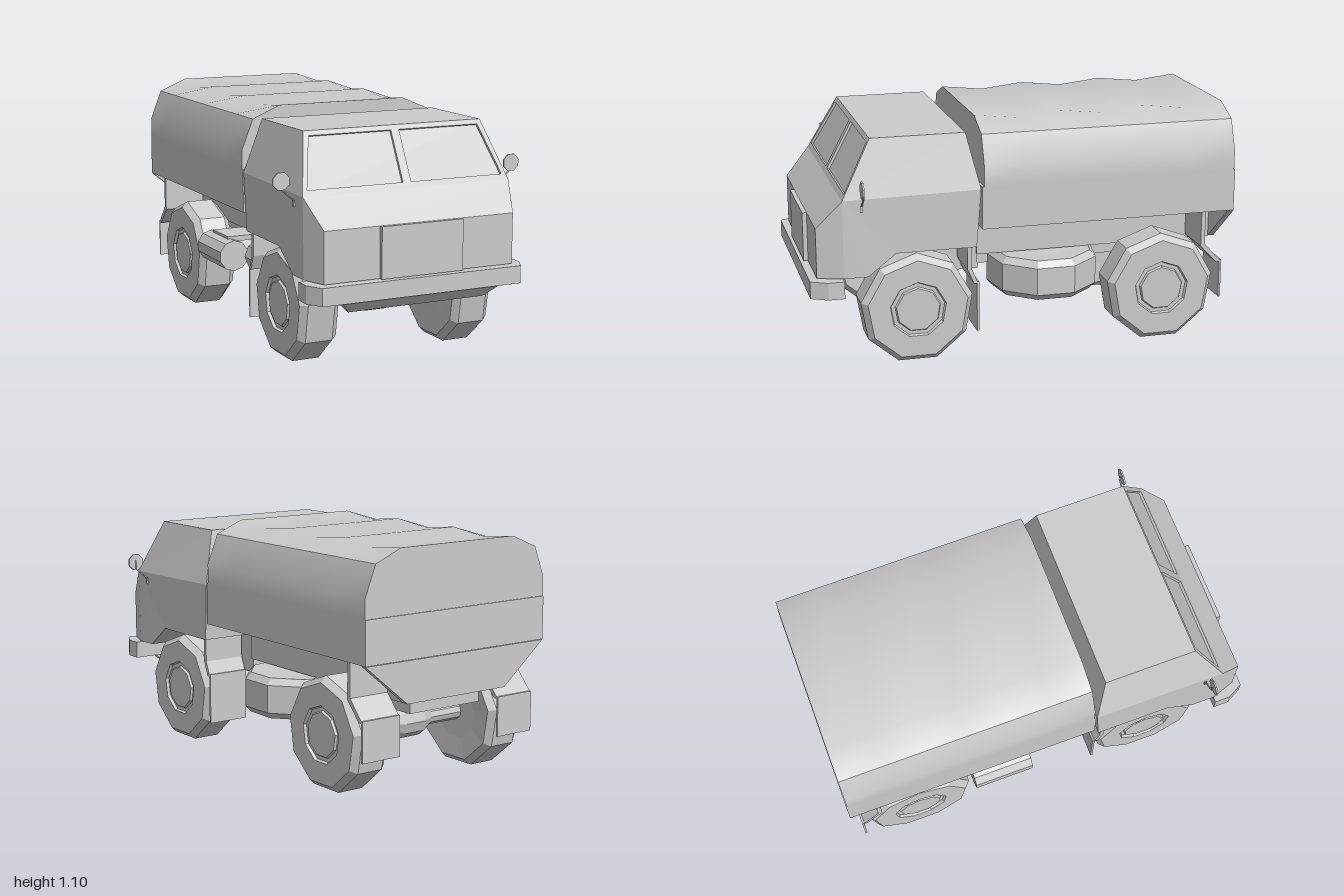
import * as THREE from 'three';
import { toCreasedNormals } from 'three/addons/utils/BufferGeometryUtils.js';

const material = new THREE.MeshStandardMaterial({ color: 0xcccccc, flatShading: true });
const smooth = new THREE.MeshStandardMaterial({ color: 0xcccccc });

export function createModel() {
  const truck = new THREE.Group();

  function add(name, geometry, x = 0, y = 0, z = 0, mat = material) {
    const mesh = new THREE.Mesh(geometry, mat);
    mesh.name = name;
    mesh.position.set(x, y, z);
    truck.add(mesh);
    return mesh;
  }

  // Box given by its limits
  const box = (name, x0, x1, y0, y1, z0, z1) =>
    add(name, new THREE.BoxGeometry(x1 - x0, y1 - y0, z1 - z0), (x0 + x1) / 2, (y0 + y1) / 2, (z0 + z1) / 2);

  const toShape = (pts) => new THREE.Shape(pts.map(([a, b]) => new THREE.Vector2(a, b)));
  const extrude = (shape, depth) => new THREE.ExtrudeGeometry(shape, { depth, bevelEnabled: false });

  // Side profile of [z, y] points carried across from x0 to x1
  const extrudeX = (pts, x0, x1) => extrude(toShape(pts), x1 - x0).rotateY(-Math.PI / 2).translate(x1, 0, 0);

  // Flat faces, each a list of points, cut into fans
  function fromFaces(faces) {
    const pos = [];
    for (const f of faces)
      for (let i = 1; i < f.length - 1; i++) pos.push(...f[0], ...f[i], ...f[i + 1]);
    const g = new THREE.BufferGeometry();
    g.setAttribute('position', new THREE.Float32BufferAttribute(pos, 3));
    g.computeVertexNormals();
    return g;
  }

  // Mirrored shell: left outline, side faces by index, bands across (one may stay open)
  function shell(outline, sides, open = -1) {
    const flip = ([x, y, z]) => [-x, y, z];
    const faces = [];
    for (const s of sides) {
      const left = s.map((i) => outline[i]);
      faces.push(left, left.map(flip).reverse());
    }
    outline.forEach((p, i) => {
      const q = outline[(i + 1) % outline.length];
      if (i !== open) faces.push([p, flip(p), flip(q), q]);
    });
    return fromFaces(faces);
  }

  // Cab
  add('cab', shell([
    [0.44, 1.05, 0.275], [0.44, 1.05, 0.71], [0.51, 0.79, 0.85], [0.465, 0.66, 0.965], [0.465, 0.43, 0.965],
    [0.505, 0.43, 0.85], [0.505, 0.43, 0.74], [0.505, 0.53, 0.61], [0.505, 0.53, 0.24], [0.51, 0.8, 0.22],
  ], [[0, 1, 2, 9], [2, 5, 6, 7, 8, 9], [2, 3, 4, 5]], 1));
  box('grille', -0.2, 0.2, 0.43, 0.66, 0.95, 0.985);

  // Windscreen: frame with two openings, glass set back
  const slope = Math.hypot(0.26, 0.14);
  const screen = [[-0.51, 0], [0.51, 0], [0.44, slope], [-0.44, slope]];
  const frame = toShape(screen);
  for (const s of [-1, 1]) {
    frame.holes.push(toShape([[s * 0.02, 0.028], [s * 0.482, 0.028], [s * 0.42, 0.272], [s * 0.02, 0.272]]));
  }
  const tilt = -Math.atan2(0.14, 0.26);
  add('windscreenFrame', extrude(frame, 0.012).translate(0, 0, -0.012), 0, 0.79, 0.85).rotation.x = tilt;
  add('windscreenGlass', new THREE.ShapeGeometry(toShape(screen)).translate(0, 0, -0.012), 0, 0.79, 0.85)
    .rotation.x = tilt;

  // Bumper with chamfered ends and a lower lip
  add('bumper', extrude(toShape([
    [-0.53, -0.85], [-0.53, -0.925], [-0.49, -1], [0.49, -1], [0.53, -0.925], [0.53, -0.85],
  ]), 0.08).rotateX(-Math.PI / 2), 0, 0.345, 0);
  add('bumperLip', shell([
    [0.39, 0.346, 0.99], [0.335, 0.29, 0.935], [0.335, 0.29, 0.92], [0.39, 0.346, 0.92],
  ], [[0, 1, 2, 3]]));

  // Chassis and load bed
  box('frontChassis', -0.27, 0.27, 0.35, 0.53, 0.18, 0.85);
  box('rearChassis', -0.2, 0.2, 0.35, 0.43, -0.92, 0.18);
  box('bedBase', -0.28, 0.28, 0.42, 0.612, -0.97, 0.185);
  box('bedSides', -0.51, 0.51, 0.612, 0.81, -1, 0.215);
  add('tailPanel', extrude(toShape([[-0.28, 0.42], [0.28, 0.42], [0.51, 0.61], [-0.51, 0.61]]), 0.03), 0, 0, -1);

  // Canvas cover sagging between its hoops
  const sections = [];
  for (let i = 0; i <= 6; i++) {
    const top = i % 2 ? 1.075 : 1.097, z = 0.205 - (i / 6) * 1.2;
    const half = [[0.51, 0.81], [0.51, 0.9], [0.455, 1.04], [0.32, top]];
    sections.push([...half, ...half.map(([x, y]) => [-x, y]).reverse()].map(([x, y]) => [x, y, z]));
  }
  const cover = [sections[0], [...sections[6]].reverse()];
  for (let i = 0; i < 6; i++)
    for (let k = 0; k < 7; k++)
      cover.push([sections[i][k], sections[i + 1][k], sections[i + 1][k + 1], sections[i][k + 1]]);
  add('canvasCover', toCreasedNormals(fromFaces(cover), 0.6), 0, 0, 0, smooth);

  // Nine-sided wheels, axle along y until turned
  const wheelProfile = [
    [0, -0.09], [0.13, -0.09], [0.235, -0.095], [0.263, -0.065], [0.263, 0.065], [0.235, 0.095],
    [0.132, 0.095], [0.126, 0.082], [0.108, 0.082], [0.102, 0.092], [0, 0.092],
  ].map(([r, y]) => new THREE.Vector2(r, y));
  const wheelGeo = new THREE.LatheGeometry(wheelProfile, 9, -Math.PI / 2);
  const rollingGeo = wheelGeo.clone().rotateZ(-Math.PI / 2);

  // Axle with a swollen differential
  const axleGeo = new THREE.LatheGeometry([
    [0, -0.31], [0.042, -0.3], [0.042, -0.12], [0.08, -0.055], [0.08, 0.055], [0.042, 0.12], [0.042, 0.3], [0, 0.31],
  ].map(([r, y]) => new THREE.Vector2(r, y)), 10).rotateZ(-Math.PI / 2);

  for (const [end, z] of [['front', 0.51], ['rear', -0.66]]) {
    add(end + 'Axle', axleGeo, 0.007, 0.247, z);
    for (const s of [-1, 1]) {
      const wheel = add(end + 'Wheel', rollingGeo, 0.007 + s * 0.387, 0.247, z);
      if (s < 0) wheel.rotation.y = Math.PI;
    }
  }
  add('spareWheel', wheelGeo, 0.23, 0.325, -0.145).rotation.x = Math.PI;

  // Mudguards with hanging flaps
  for (const s of [-1, 1]) {
    const [x0, x1] = s < 0 ? [-0.49, -0.285] : [0.285, 0.49];
    add('frontMudguard', extrudeX([
      [0.26, 0.53], [0.26, 0.42], [0.23, 0.35], [0.25, 0.35], [0.28, 0.42], [0.28, 0.53],
    ], x0, x1));
    box('frontMudflap', x0, x1, 0.12, 0.36, 0.226, 0.236);
    add('rearMudguard', extrudeX([
      [-0.87, 0.612], [-0.87, 0.45], [-0.955, 0.355], [-0.93, 0.355], [-0.85, 0.44], [-0.85, 0.612],
    ], x0, x1));
    box('rearMudflap', x0, x1, 0.18, 0.365, -0.957, -0.947);
  }

  // Fuel tank and exhaust silencer on the right
  add('fuelTank', new THREE.CylinderGeometry(0.075, 0.075, 0.29, 10).rotateX(Math.PI / 2), -0.43, 0.34, -0.235);
  box('tankBracket', -0.44, -0.27, 0.4, 0.425, -0.33, -0.14);
  add('silencer', new THREE.LatheGeometry([
    [0, -0.155], [0.045, -0.15], [0.07, -0.11], [0.07, 0.11], [0.045, 0.15], [0, 0.155],
  ].map(([r, y]) => new THREE.Vector2(r, y)), 8).rotateX(Math.PI / 2), -0.33, 0.345, 0.075);

  // Mirrors on bent arms
  for (const s of [-1, 1]) {
    const disc = new THREE.CylinderGeometry(0.041, 0.041, 0.008, 8).rotateY(Math.PI / 8).rotateX(Math.PI / 2);
    add('mirror', disc, s * 0.573, 0.85, 0.77);
    const arm = new THREE.CurvePath();
    const pts = [[0.573, 0.86], [0.573, 0.815], [0.508, 0.76]].map(([x, y]) => new THREE.Vector3(s * x, y, 0.763));
    arm.add(new THREE.LineCurve3(pts[0], pts[1]));
    arm.add(new THREE.LineCurve3(pts[1], pts[2]));
    add('mirrorArm', new THREE.TubeGeometry(arm, 12, 0.004, 5));
    add('mirrorMount', new THREE.BoxGeometry(0.012, 0.03, 0.012), s * 0.51, 0.75, 0.765);
  }
  return truck;
}
